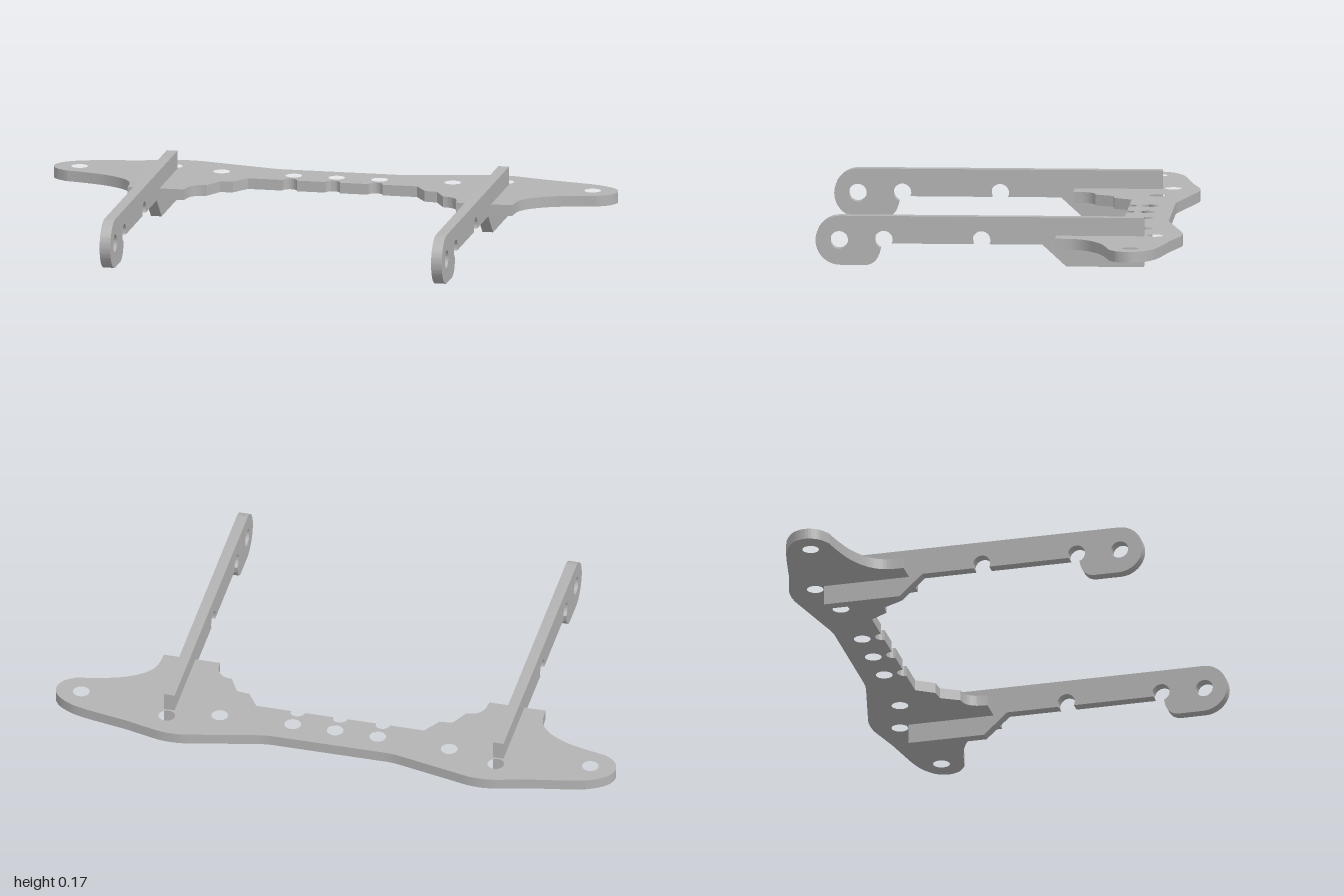
import * as THREE from 'three';
import { toCreasedNormals } from 'three/addons/utils/BufferGeometryUtils.js';

const V = (x, y) => new THREE.Vector2(x, y);

function addHole(shape, x, y, r) {
  const hole = new THREE.Path();
  hole.absarc(x, y, r, 0, Math.PI * 2, true);
  shape.holes.push(hole);
}

function extrude(shape, depth) {
  return new THREE.ExtrudeGeometry(shape, { depth, bevelEnabled: false, curveSegments: 20 });
}

// Half of the plate outline, drawn as (x, -z) from the back middle to the front middle
function plateShape() {
  const half = new THREE.Path();
  half.moveTo(0, 0.57);
  half.lineTo(0.2, 0.57);
  half.quadraticCurveTo(0.23, 0.57, 0.27, 0.58);
  half.lineTo(0.48, 0.628);
  half.quadraticCurveTo(0.55, 0.647, 0.62, 0.628);
  half.lineTo(0.72, 0.602);
  half.lineTo(0.86, 0.575);
  half.splineThru([V(0.925, 0.556), V(0.98, 0.52), V(1, 0.475), V(0.985, 0.43), V(0.945, 0.401)]);
  half.splineThru([V(0.87, 0.385), V(0.79, 0.36), V(0.725, 0.32), V(0.69, 0.27), V(0.682, 0.2)]);
  half.lineTo(0.482, 0.2);
  // stepped inner edge
  half.lineTo(0.478, 0.235);
  half.quadraticCurveTo(0.465, 0.28, 0.42, 0.28);
  half.lineTo(0.385, 0.345);
  half.lineTo(0.34, 0.35);
  half.lineTo(0.3, 0.412);
  // semicircular notches
  half.lineTo(0.178, 0.412);
  half.absarc(0.152, 0.412, 0.026, 0, Math.PI, false);
  half.lineTo(0.026, 0.412);
  half.absarc(0, 0.412, 0.026, 0, Math.PI / 2, false);

  const pts = half.getPoints(16);
  const mirrored = pts.slice(1, -1).reverse().map((p) => V(-p.x, p.y));
  const shape = new THREE.Shape([...pts, ...mirrored]);

  addHole(shape, 0, 0.485, 0.029);
  for (const s of [-1, 1]) {
    for (const [x, y] of [[0.152, 0.485], [0.41, 0.495], [0.588, 0.541], [0.91, 0.475]]) {
      addHole(shape, s * x, y, 0.029);
    }
  }
  return shape;
}

// Arm side profile, drawn as (z, y)
function armShape() {
  const s = new THREE.Shape();
  s.moveTo(-0.505, 0);
  s.lineTo(-0.235, 0);
  s.lineTo(-0.152, 0.076);
  s.lineTo(0.033, 0.076);
  s.absarc(0.06, 0.09, 0.031, Math.PI + 0.48, -0.48, true);
  s.lineTo(0.373, 0.076);
  s.absarc(0.4, 0.089, 0.031, Math.PI + 0.45, -1.2, true);
  s.quadraticCurveTo(0.418, 0.005, 0.46, 0);
  s.lineTo(0.551, 0);
  s.absarc(0.551, 0.086, 0.086, -Math.PI / 2, Math.PI / 2, false);
  s.lineTo(-0.505, 0.172);
  s.closePath();
  addHole(s, 0.555, 0.087, 0.031);
  return s;
}

export function createModel() {
  const grey = new THREE.MeshStandardMaterial({ color: 0xb4b4b4 });
  grey.name = 'plain grey';
  const group = new THREE.Group();
  group.name = 'bracket';

  const plateGeo = extrude(plateShape(), 0.038);
  plateGeo.rotateX(-Math.PI / 2);
  const plate = new THREE.Mesh(toCreasedNormals(plateGeo, 0.5), grey);
  plate.name = 'mountingPlate';
  plate.position.y = 0.07;
  group.add(plate);

  // Two identical arms
  const width = 0.038;
  const armGeo = extrude(armShape(), width);
  armGeo.translate(0, 0, -width / 2);
  armGeo.rotateY(-Math.PI / 2);
  const armCreased = toCreasedNormals(armGeo, 0.5);
  for (const [name, x] of [['leftArm', 0.588], ['rightArm', -0.588]]) {
    const arm = new THREE.Mesh(armCreased, grey);
    arm.name = name;
    arm.position.x = x;
    group.add(arm);
  }
  return group;
}
